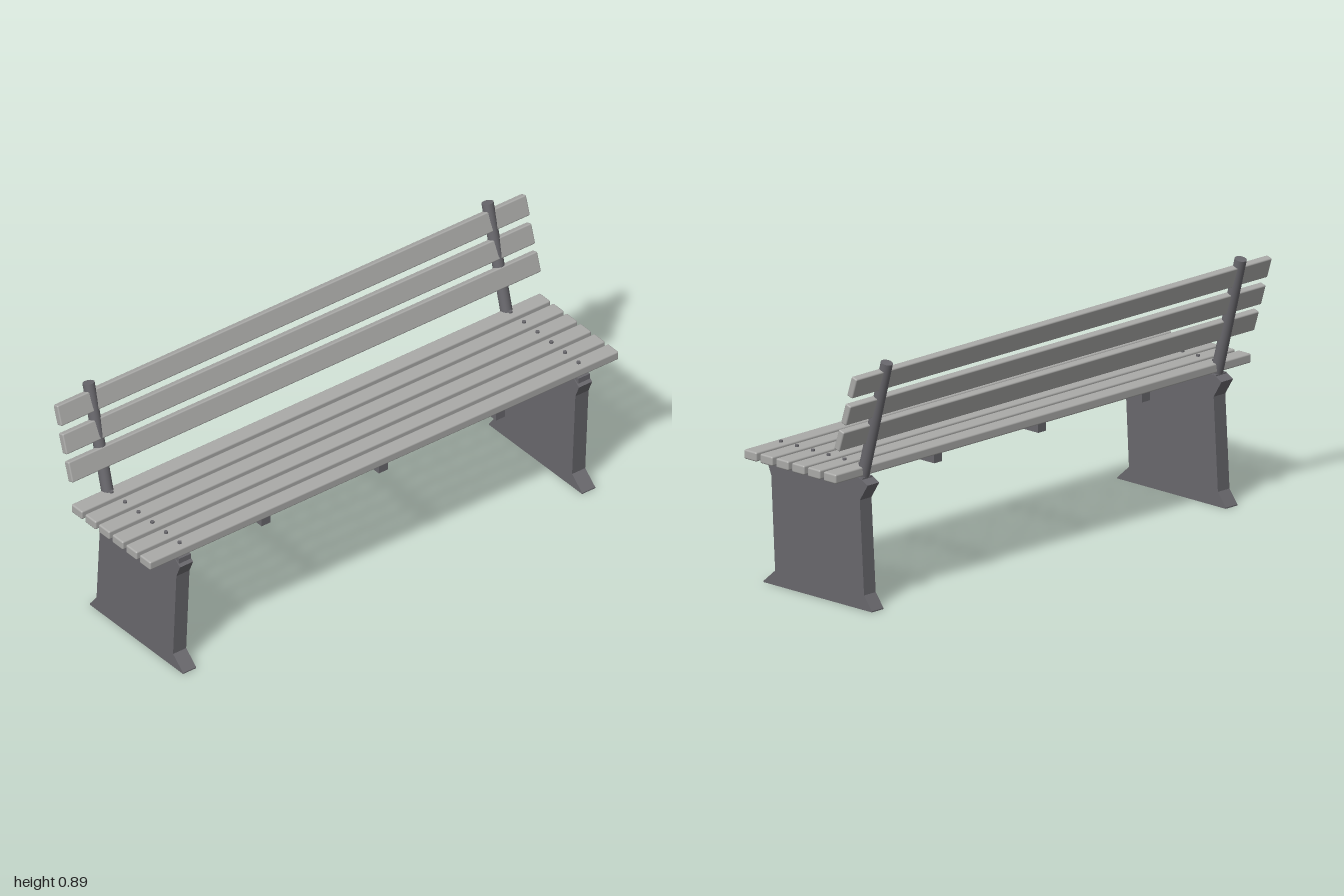
import * as THREE from 'three';
import { RoundedBoxGeometry } from 'three/addons/geometries/RoundedBoxGeometry.js';

const wood = new THREE.MeshStandardMaterial({ color: 0xaaaaa8 });
wood.name = 'weathered slat grey';
const iron = new THREE.MeshStandardMaterial({ color: 0x69686d });
iron.name = 'cast iron grey';

const LEG_X = 0.851;
const LEG_WIDTH = 0.056;

function add(parent, name, geometry, material, x = 0, y = 0, z = 0) {
  const mesh = new THREE.Mesh(geometry, material);
  mesh.name = name;
  mesh.position.set(x, y, z);
  parent.add(mesh);
  return mesh;
}

// Side outline given as [z, y] points, extruded along x and centred on x = 0
function sidePlate(points, width) {
  const shape = new THREE.Shape(points.map(([z, y]) => new THREE.Vector2(z, y)));
  const geometry = new THREE.ExtrudeGeometry(shape, { depth: width, bevelEnabled: false });
  return geometry.rotateY(-Math.PI / 2).translate(width / 2, 0, 0);
}

export function createModel() {
  const bench = new THREE.Group();
  bench.name = 'bench';

  // Seat slats
  const seatZ = [0.232, 0.157, 0.082, 0.007, -0.067, -0.142];
  const seatSlat = new RoundedBoxGeometry(2, 0.033, 0.059, 2, 0.006);
  seatZ.forEach((z) => add(bench, 'seatSlat', seatSlat, wood, 0, 0.481, z));

  // Backrest slats, leaning slightly more than the posts
  const backSlat = new RoundedBoxGeometry(2, 0.075, 0.026, 2, 0.005);
  [[0.621, -0.186], [0.719, -0.218], [0.82, -0.247]].forEach(([y, z]) => {
    add(bench, 'backSlat', backSlat, wood, 0, y, z).rotation.x = -0.31;
  });

  // Cross braces under the seat
  const brace = new THREE.BoxGeometry(0.038, 0.031, 0.42);
  [-0.5, 0, 0.5].forEach((x) => add(bench, 'seatBrace', brace, iron, x, 0.45, 0.045));

  // End supports: plate leg, top cap, tilted post and slat bolts
  const legPlate = sidePlate([
    [0.287, 0], [0.287, 0.004], [0.232, 0.052], [0.25, 0.383], [0.27, 0.43], [0.232, 0.459],
    [-0.168, 0.459], [-0.204, 0.441], [-0.167, 0.382], [-0.187, 0.052], [-0.224, 0.004], [-0.224, 0],
  ], LEG_WIDTH);
  const legCap = sidePlate([
    [0.262, 0.44], [0.262, 0.46], [-0.176, 0.46], [-0.176, 0.44],
  ], LEG_WIDTH - 0.006);
  const post = new THREE.CylinderGeometry(0.021, 0.021, 0.445, 20);
  const bolt = new THREE.CylinderGeometry(0.007, 0.007, 0.01, 12);
  for (const side of [1, -1]) {
    const support = new THREE.Group();
    support.name = side > 0 ? 'leftSupport' : 'rightSupport';
    support.position.x = side * LEG_X;
    bench.add(support);
    add(support, 'legPlate', legPlate, iron);
    add(support, 'legCap', legCap, iron);
    add(support, 'backPost', post, iron, 0, 0.666, -0.21).rotation.x = -0.26;
    seatZ.forEach((z) => add(support, 'bolt', bolt, iron, 0, 0.499, z));
  }
  return bench;
}
